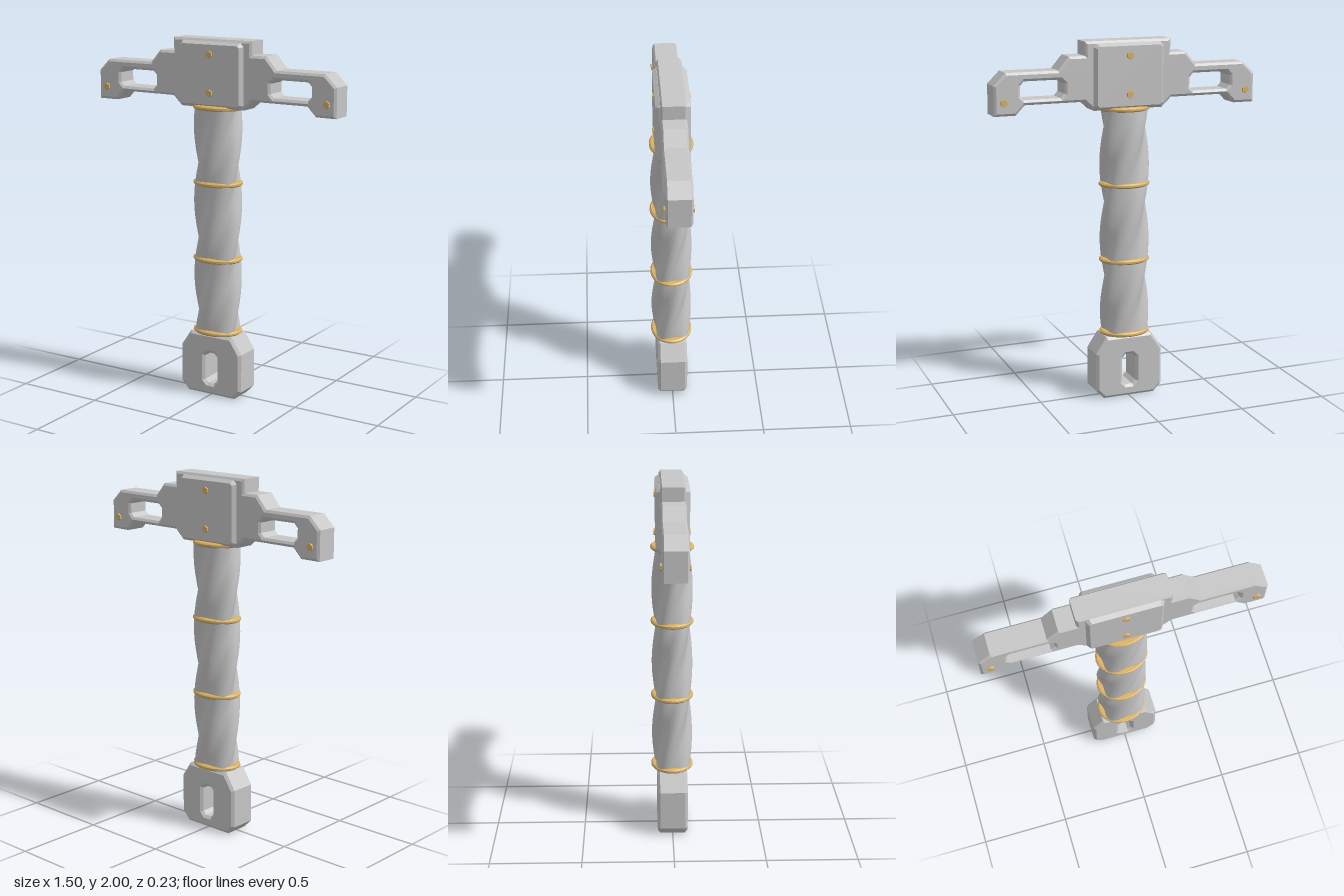
import * as THREE from 'three';
import { toCreasedNormals } from 'three/addons/utils/BufferGeometryUtils.js';

const steel = new THREE.MeshStandardMaterial({ color: 0xc6c6c6 });
steel.name = 'steel';
const gold = new THREE.MeshStandardMaterial({ color: 0xdab164 });
gold.name = 'gold';

const toPoints = (list) => list.map(([x, y]) => new THREE.Vector2(x, y));

// Rectangle with cut corners, as a list of points
function cutRect(cx, cy, hw, hh, c) {
  return [
    [cx - hw + c, cy - hh], [cx + hw - c, cy - hh], [cx + hw, cy - hh + c], [cx + hw, cy + hh - c],
    [cx + hw - c, cy + hh], [cx - hw + c, cy + hh], [cx - hw, cy + hh - c], [cx - hw, cy - hh + c],
  ];
}

// Symmetrical slab with chamfered edges, centred on z = 0
function slab(name, outline, holes, halfDepth, bevelSize, bevelThickness) {
  const shape = new THREE.Shape(toPoints(outline));
  for (const hole of holes) shape.holes.push(new THREE.Path(toPoints(hole)));
  const depth = 2 * (halfDepth - bevelThickness);
  const geo = new THREE.ExtrudeGeometry(shape, {
    depth, bevelEnabled: true, bevelSegments: 1, bevelSize, bevelThickness, bevelOffset: -bevelSize,
  });
  geo.translate(0, 0, -depth / 2);
  const mesh = new THREE.Mesh(geo, steel);
  mesh.name = name;
  return mesh;
}

// Twisted grip: four soft ridges winding up an oval shaft
function makeGrip() {
  const y0 = 0.36, y1 = 1.635;
  const geo = new THREE.CylinderGeometry(1, 1, y1 - y0, 64, 72);
  geo.translate(0, (y0 + y1) / 2, 0);
  const p = geo.attributes.position;
  for (let i = 0; i < p.count; i++) {
    const x = p.getX(i), y = p.getY(i), z = p.getZ(i);
    const angle = Math.atan2(x, z);
    const twist = (y - 1.4) * (2 * Math.PI / 1.68);
    const r = 0.1245 + 0.0145 * Math.cos(4 * (angle - twist));
    p.setXYZ(i, x * r, y, z * r * 0.81);
  }
  const mesh = new THREE.Mesh(toCreasedNormals(geo, 0.8), steel);
  mesh.name = 'grip';
  return mesh;
}

export function createModel() {
  const model = new THREE.Group();

  // Crossguard: right half of the outline, mirrored
  const half = [
    [0.195, 1.63], [0.25, 1.682], [0.58, 1.682], [0.63, 1.63], [0.748, 1.63], [0.748, 1.79],
    [0.682, 1.855], [0.395, 1.855], [0.335, 1.925], [0.245, 1.925], [0.245, 2],
  ];
  const outline = [...half, ...half.map(([x, y]) => [-x, y]).reverse()];
  const slots = [-1, 1].map((s) => cutRect(s * 0.482, 1.758, 0.122, 0.049, 0.022));
  model.add(slab('crossguard', outline, slots, 0.067, 0.013, 0.01));

  // Raised block showing on both faces of the guard
  model.add(slab('centreBlock', cutRect(0, 1.811, 0.2, 0.177, 0.02), [], 0.09, 0.016, 0.022));

  // Pommel with a slot
  const pommel = [
    [-0.15, 0], [0.15, 0], [0.196, 0.048], [0.196, 0.265],
    [0.134, 0.357], [-0.134, 0.357], [-0.196, 0.265], [-0.196, 0.048],
  ];
  model.add(slab('pommel', pommel, [cutRect(0, 0.155, 0.039, 0.09, 0.02)], 0.084, 0.015, 0.014));

  model.add(makeGrip());

  // Solid oval collars around the grip
  const rim = toPoints([
    [0, -0.012], [0.134, -0.012], [0.143, -0.005], [0.143, 0.005], [0.134, 0.012], [0, 0.012],
  ]);
  const collarGeo = new THREE.LatheGeometry(rim, 24).scale(1, 1, 0.82);
  for (const y of [0.368, 0.785, 1.213, 1.63]) {
    const collar = new THREE.Mesh(toCreasedNormals(collarGeo, 0.6), gold);
    collar.name = 'gripCollar';
    collar.position.y = y;
    model.add(collar);
  }

  // Six-sided rivets on both faces
  const rivets = [[-0.695, 1.7, 0.076], [0.695, 1.7, 0.076], [0, 1.92, 0.098], [0, 1.712, 0.098]];
  for (const [x, y, z] of rivets) {
    for (const side of [-1, 1]) {
      const geo = new THREE.CylinderGeometry(0.019, 0.023, 0.02, 6);
      geo.rotateX(side * Math.PI / 2);
      const rivet = new THREE.Mesh(toCreasedNormals(geo, 0.3), gold);
      rivet.name = 'rivet';
      rivet.position.set(x, y, side * (z - 0.01));
      model.add(rivet);
    }
  }
  return model;
}
